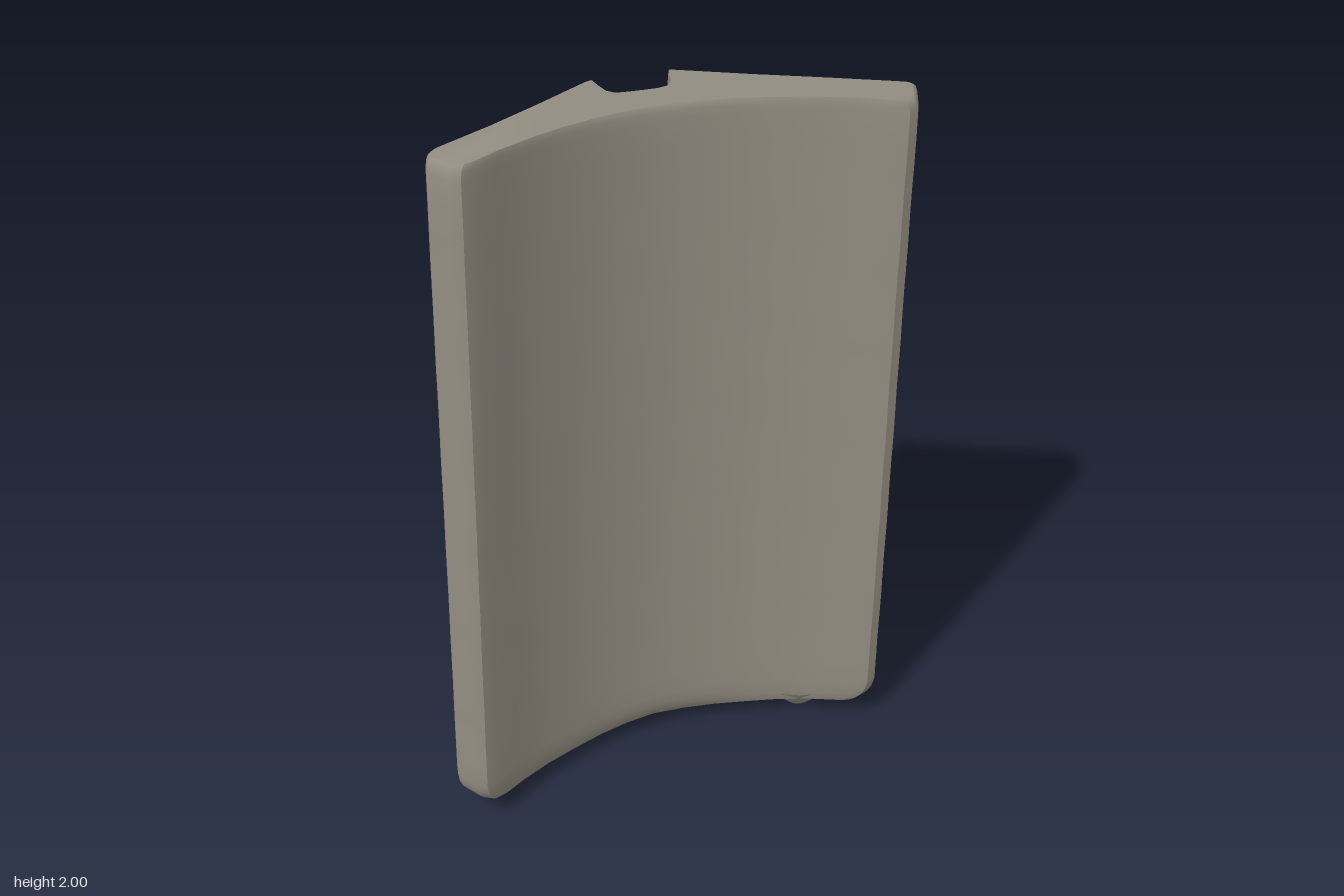
import * as THREE from 'three';
import { toCreasedNormals } from 'three/addons/utils/BufferGeometryUtils.js';

// Plan section at the top edge, as x, z: back left, left tip, hollow front, right tip, back right
const BODY = [
  [-0.105, -0.25], [-0.13, -0.24], [-0.3, -0.127], [-0.47, -0.02], [-0.64, 0.08],
  [-0.66, 0.1], [-0.667, 0.13], [-0.635, 0.195], [-0.607, 0.215], [-0.575, 0.203],
  [-0.5, 0.155], [-0.4, 0.105], [-0.3, 0.065], [-0.2, 0.035], [-0.1, 0.017], [0, 0.01],
  [0.1, 0.015], [0.2, 0.03], [0.3, 0.057], [0.4, 0.093], [0.5, 0.14], [0.58, 0.19],
  [0.61, 0.205], [0.64, 0.195], [0.667, 0.15], [0.695, 0.095], [0.69, 0.075], [0.66, 0.055],
  [0.49, -0.043], [0.32, -0.141], [0.15, -0.24], [0.125, -0.255],
];
// Channel in the back, from right lip to left lip
const GROOVE = [
  [0.107, -0.21], [0.094, -0.165], [0.07, -0.13], [0.04, -0.12], [0, -0.118],
  [-0.04, -0.12], [-0.08, -0.126], [-0.098, -0.15], [-0.103, -0.2],
];
const OUTLINE = [...BODY, ...GROOVE];

// Layers as height and amount of edge rounding
const LAYERS = [[0.045, 1], [0.056, 0.65], [0.075, 0.32], [0.1, 0.1], [0.13, 0]];
for (let i = 1; i <= 24; i++) LAYERS.push([0.13 + (1.83 * i) / 24, 0]);
LAYERS.push([1.982, 0.06], [1.995, 0.18], [2, 0.32]);

const midline = (x) => -0.1 + 0.37 * Math.abs(x);

function layerPoint(i, y, round) {
  let [x, z] = OUTLINE[i];
  // The channel runs out into a scoop near the bottom
  if (i >= BODY.length) {
    const k = 1 - THREE.MathUtils.smoothstep(y, 0.06, 0.22);
    z = THREE.MathUtils.lerp(z, -0.235, k);
    x += 0.006 * Math.sin(y * 5) * (1 - y / 2);
  }
  // Pull the edges in at the top and bottom
  const off = z - midline(x);
  x *= 1 - 0.07 * round;
  z = midline(x) + off * (1 - 0.28 * round);
  // Slight worn unevenness
  z += 0.002 * Math.sin(x * 17 + y * 9) * Math.sin(y * 13 - x * 7);
  // Lean of the whole slab, sloping top and bowed bottom
  const up = y / 2;
  const h = y - 0.0145 * (x + 0.65) * up ** 4 + 0.05 * x * x * (1 - up) ** 6;
  return [x - 0.036 * (1 - up), h, z + 0.038 * (1 - up)];
}

function slabGeometry() {
  const n = OUTLINE.length;
  const pos = [];
  const index = [];
  LAYERS.forEach(([y, r]) => OUTLINE.forEach((_, i) => pos.push(...layerPoint(i, y, r))));
  for (let l = 0; l < LAYERS.length - 1; l++) {
    for (let i = 0; i < n; i++) {
      const a = l * n + i, b = l * n + ((i + 1) % n);
      index.push(a, b, b + n, a, b + n, a + n);
    }
  }
  // Top and bottom caps
  const cap = (l, flip) => {
    const base = l * n;
    const pts = OUTLINE.map((_, i) =>
      new THREE.Vector2(pos[(base + i) * 3], -pos[(base + i) * 3 + 2]));
    for (const [a, b, c] of THREE.ShapeUtils.triangulateShape(pts, [])) {
      index.push(base + a, base + (flip ? c : b), base + (flip ? b : c));
    }
  };
  cap(0, true);
  cap(LAYERS.length - 1, false);
  const g = new THREE.BufferGeometry();
  g.setAttribute('position', new THREE.Float32BufferAttribute(pos, 3));
  g.setIndex(index);
  return toCreasedNormals(g, 0.6);
}

export function createModel() {
  const stone = new THREE.MeshStandardMaterial({ color: 0x928c80 });
  stone.name = 'warm grey stone';
  const group = new THREE.Group();
  group.name = 'groovedSlab';

  const slab = new THREE.Mesh(slabGeometry(), stone);
  slab.name = 'slab';
  group.add(slab);

  // Small rough nub under the bottom edge
  const profile = [[0, 0], [0.025, 0.006], [0.06, 0.03], [0.1, 0.055], [0.12, 0.075]];
  const nub = new THREE.Mesh(
    new THREE.LatheGeometry(profile.map(([r, y]) => new THREE.Vector2(r, y)), 14), stone);
  nub.name = 'bottomNub';
  nub.scale.z = 0.5;
  nub.rotation.y = -0.4;
  nub.position.set(0.42, 0, 0.09);
  group.add(nub);
  return group;
}
